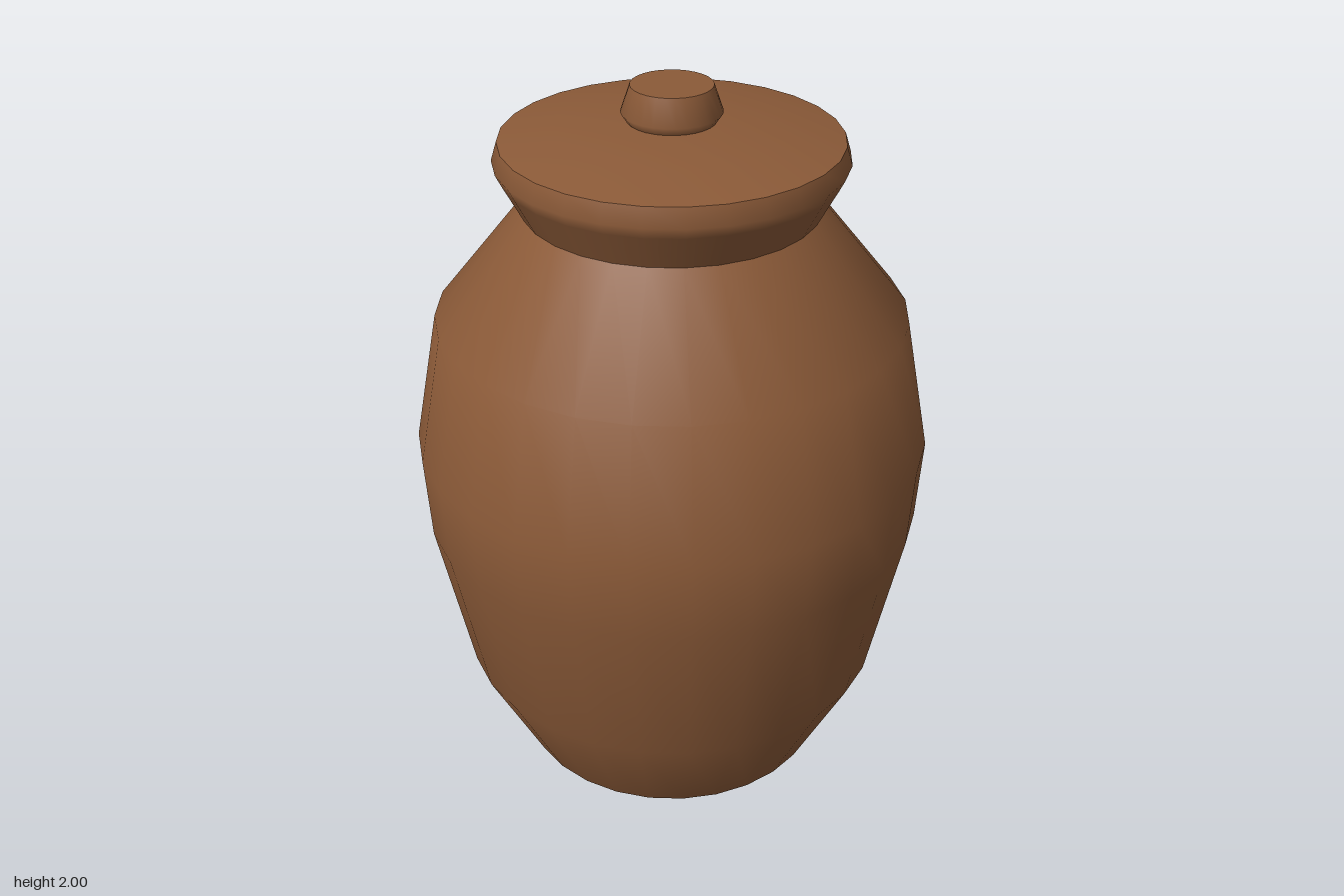
import * as THREE from 'three';

const SIDES = 28;

export function createModel() {
  const jar = new THREE.Group();
  jar.name = 'liddedJar';
  const clay = new THREE.MeshStandardMaterial({ color: 0x8b5a38 });
  clay.name = 'brown clay';

  // Turn a bottom-to-top list of [radius, height] into a smooth round part
  const turn = (name, profile, parent = jar) => {
    const points = profile.map(([r, y]) => new THREE.Vector2(r, y));
    const mesh = new THREE.Mesh(new THREE.LatheGeometry(points, SIDES), clay);
    mesh.name = name;
    parent.add(mesh);
  };

  // Bulging body with its closed, softly rounded foot
  turn('body', [
    [0, 0], [0.385, 0], [0.43, 0.04], [0.585, 0.34], [0.68, 0.79],
    [0.695, 1.02], [0.628, 1.38], [0.39, 1.68],
  ]);

  // Flared neck above the shoulder
  turn('neck', [[0.39, 1.68], [0.443, 1.78]]);

  // Lid: rim band, shallow dome and knob
  const lid = new THREE.Group();
  lid.name = 'lid';
  jar.add(lid);
  turn('lidRim', [[0.443, 1.78], [0.458, 1.81], [0.443, 1.86]], lid);
  turn('lidTop', [[0.443, 1.86], [0.3, 1.89], [0.13, 1.908], [0, 1.908]], lid);
  turn('knobSide', [[0.113, 1.905], [0.13, 1.93], [0.106, 2]], lid);
  turn('knobTop', [[0.106, 2], [0, 2]], lid);

  return jar;
}
